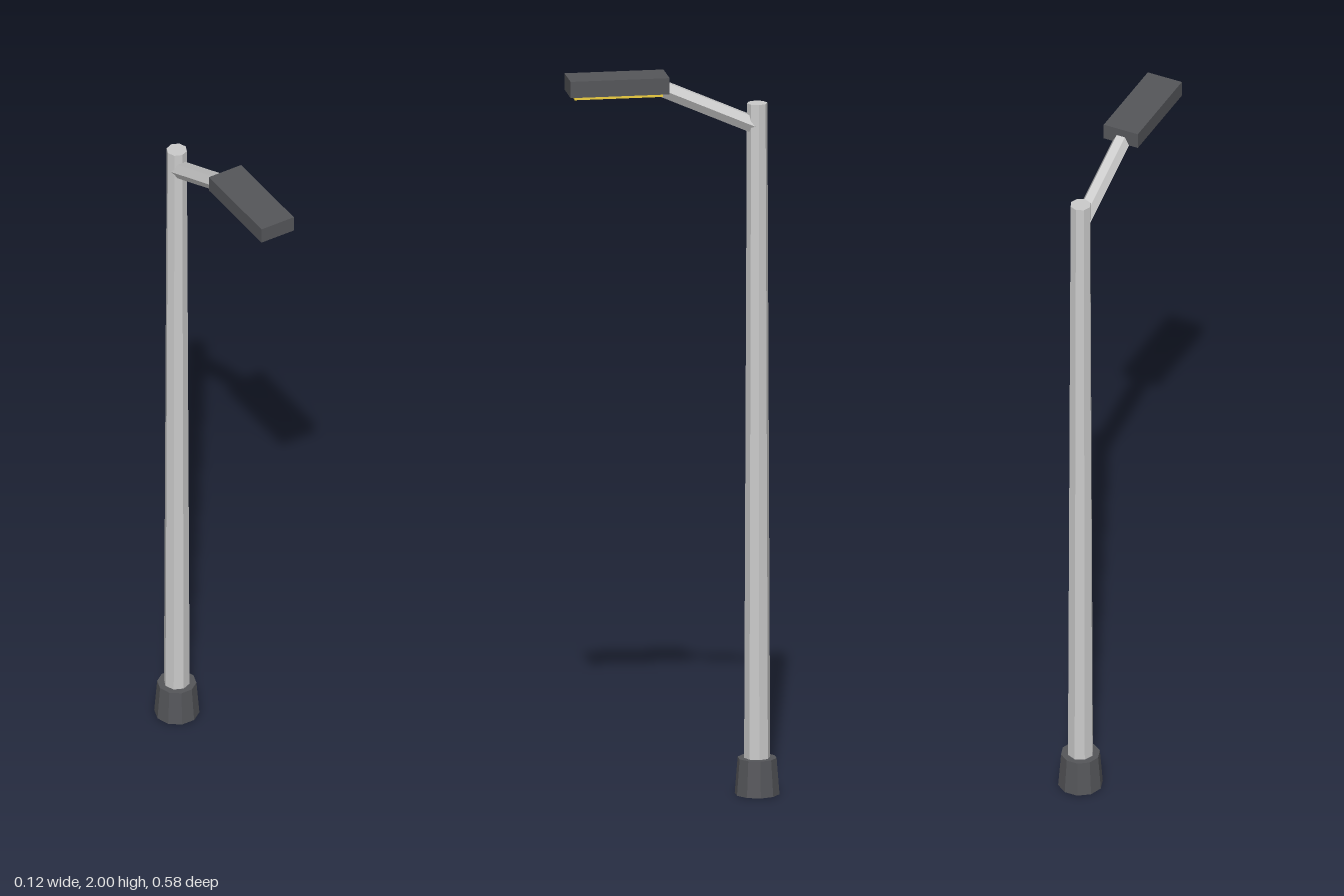
import * as THREE from 'three';

export function createModel() {
  const group = new THREE.Group();
  const paint = (color) => new THREE.MeshStandardMaterial({ color, flatShading: true });
  const metal = paint(0xcccccc);
  const dark = paint(0x55565a);
  const glow = paint(0xf0d040);
  const poleZ = -0.23;

  const add = (name, geometry, material, x, y, z) => {
    const mesh = new THREE.Mesh(geometry, material);
    mesh.name = name;
    mesh.position.set(x, y, z);
    group.add(mesh);
    return mesh;
  };

  // ten-sided tapered foot, corners pointing to the sides
  add('base', new THREE.CylinderGeometry(0.053, 0.061, 0.1, 10).rotateY(Math.PI / 2), dark, 0, 0.05, poleZ);

  // eight-sided tapered pole
  add('pole', new THREE.CylinderGeometry(0.028, 0.036, 1.91, 8), metal, 0, 0.955, poleZ);

  // hexagonal arm rising from the pole into the lamp head, flat side up
  const start = new THREE.Vector3(0, 1.846, poleZ);
  const end = new THREE.Vector3(0, 1.968, 0.047);
  const span = end.clone().sub(start);
  const mid = start.clone().add(end).multiplyScalar(0.5);
  const armGeometry = new THREE.CylinderGeometry(0.0245, 0.0245, span.length(), 6).rotateY(Math.PI / 2);
  const arm = add('arm', armGeometry, metal, mid.x, mid.y, mid.z);
  arm.rotation.x = Math.atan2(span.z, span.y);

  // lamp head with the light panel under it
  add('lampHead', new THREE.BoxGeometry(0.102, 0.045, 0.27), dark, 0, 1.9775, 0.152);
  add('lightPanel', new THREE.BoxGeometry(0.08, 0.02, 0.24), glow, 0, 1.956, 0.154);

  return group;
}
